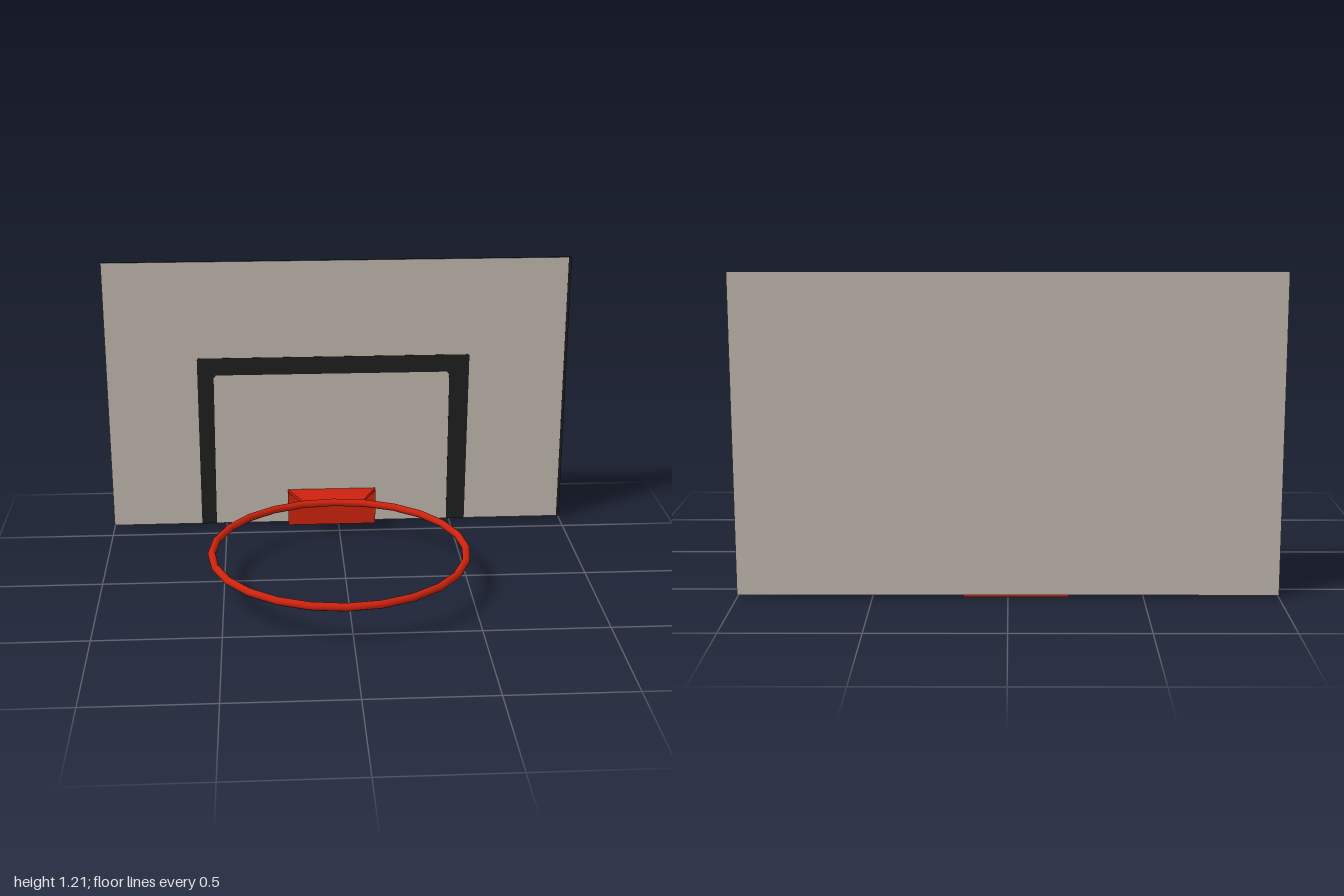
import * as THREE from 'three';

const red = new THREE.MeshStandardMaterial({ name: 'red', color: 0xcc220d });
const black = new THREE.MeshStandardMaterial({ name: 'black', color: 0x1e1e1e });
const grey = new THREE.MeshStandardMaterial({ name: 'warmGrey', color: 0xc0b7ad });

const BACK = -0.604, FACE = -0.592; // board surfaces along z
const CX = -0.03; // hoop and bracket centre line

function addMesh(parent, name, geometry, material, x = 0, y = 0, z = 0) {
  const mesh = new THREE.Mesh(geometry, material);
  mesh.name = name;
  mesh.position.set(x, y, z);
  parent.add(mesh);
  return mesh;
}

function extrudePoints(points, depth) {
  const shape = new THREE.Shape(points.map(([x, y]) => new THREE.Vector2(x, y)));
  return new THREE.ExtrudeGeometry(shape, { depth, bevelEnabled: false });
}

export function createModel() {
  const model = new THREE.Group();
  model.name = 'basketballHoop';

  // Backboard: grey front and back, black edges
  addMesh(model, 'backboard', new THREE.BoxGeometry(2, 1.195, FACE - BACK),
    [black, black, black, black, grey, grey], 0, 0.6075, (FACE + BACK) / 2);

  // Narrow painted border along the left edge of the face
  addMesh(model, 'edgeStripe', new THREE.BoxGeometry(0.012, 1.195, 0.001), black, 0.994, 0.6075, FACE + 0.0005);

  // Painted target: an upside-down U with slightly clipped inner corners
  const target = extrudePoints([
    [-0.61, 0.01], [-0.545, 0.01], [-0.54, 0.69], [-0.53, 0.703], [0.475, 0.703], [0.486, 0.69],
    [0.486, 0.01], [0.567, 0.01], [0.572, 0.775], [0.565, 0.78], [-0.603, 0.78], [-0.61, 0.775],
  ], 0.002);
  addMesh(model, 'targetFrame', target, black, 0, 0, FACE);

  // Bracket: wall plate and a tapered shelf reaching the rim
  const bracket = new THREE.Group();
  bracket.name = 'bracket';
  model.add(bracket);
  addMesh(bracket, 'wallPlate', new THREE.BoxGeometry(0.39, 0.155, 0.018), red, CX, 0.0775, -0.584);
  const shelf = extrudePoints([[-0.195, 0.593], [-0.13, 0.447], [0.13, 0.447], [0.195, 0.593]], 0.014);
  shelf.rotateX(-Math.PI / 2);
  addMesh(bracket, 'shelf', shelf, red, CX, 0.15, 0);

  // Rim: 24-sided ring
  const rim = new THREE.TorusGeometry(0.517, 0.016, 10, 24);
  rim.rotateX(Math.PI / 2);
  addMesh(model, 'rim', rim, red, CX, 0.157, 0.069);

  return model;
}
